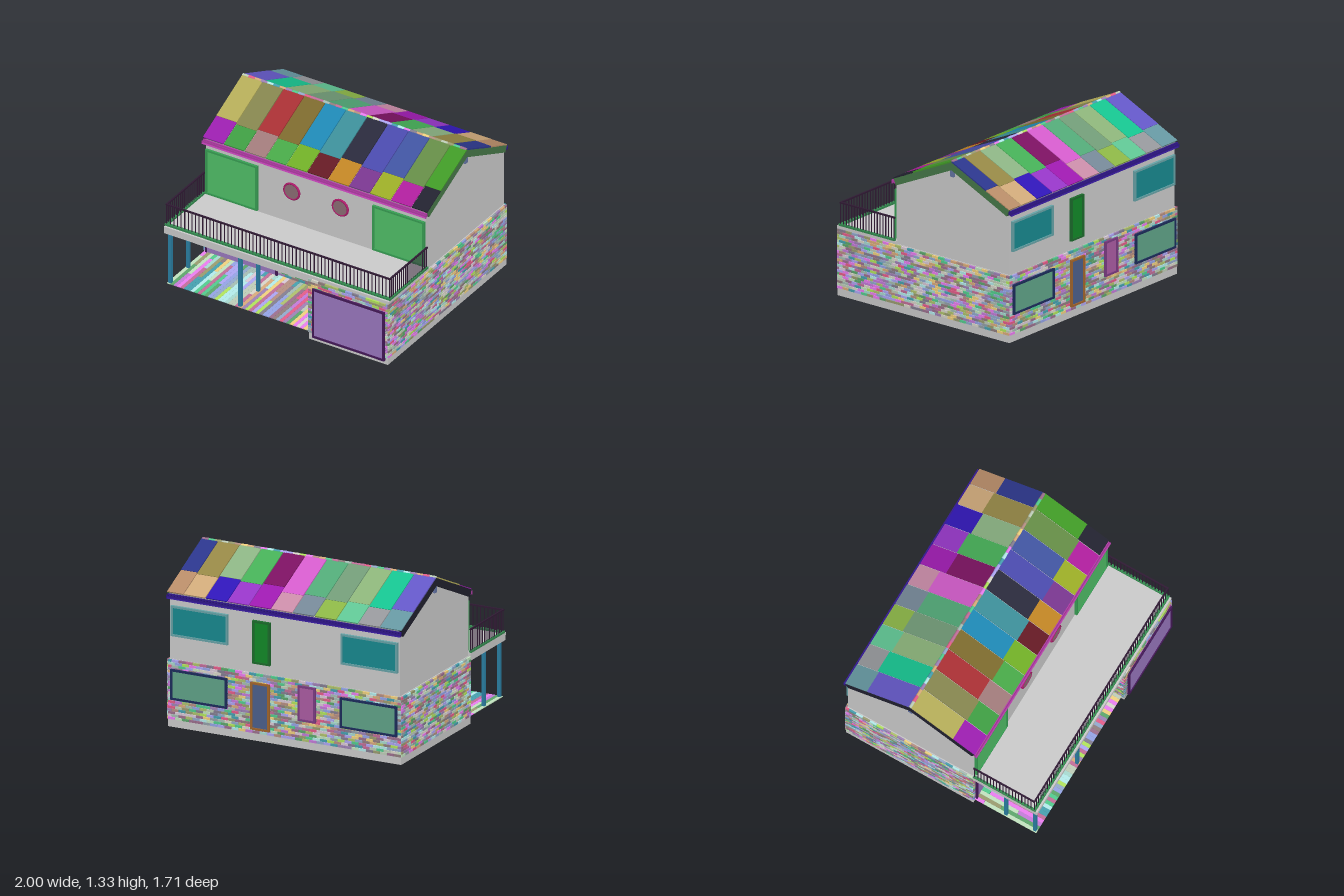
import * as THREE from 'three';
import { mergeGeometries } from 'three/addons/utils/BufferGeometryUtils.js';

const GREY = 0xcccccc;
const material = (color) => new THREE.MeshStandardMaterial({ color });

let seed = 7;
const rand = () => (seed = (seed * 16807) % 2147483647) / 2147483647;

function add(parent, name, geometry, color = GREY) {
  const mesh = new THREE.Mesh(geometry, material(color));
  mesh.name = name;
  parent.add(mesh);
  return mesh;
}

// Box given by its limits on each axis
function span(x0, x1, y0, y1, z0, z1) {
  return new THREE.BoxGeometry(x1 - x0, y1 - y0, z1 - z0)
    .translate((x0 + x1) / 2, (y0 + y1) / 2, (z0 + z1) / 2);
}

// Many small pieces in mixed colours, merged to one mesh per colour
const PALETTE = Array.from({ length: 28 }, (_, i) =>
  new THREE.Color().setHSL(i / 28, 0.15 + 0.2 * (i % 4), 0.25 + 0.1 * (i % 5)));

function addMixed(parent, name, pieces) {
  const group = new THREE.Group();
  group.name = name;
  const buckets = PALETTE.map(() => []);
  pieces.forEach((g) => buckets[Math.floor(rand() * PALETTE.length)].push(g));
  buckets.forEach((b, i) => b.length && add(group, name, mergeGeometries(b), PALETTE[i]));
  parent.add(group);
}

// L-shaped plan: back block plus the projecting wing on the left
function footprint(inset, y0, y1) {
  const a = 0.99 - inset, b = 0.29 + inset;
  const front = 0.84 - inset, mid = 0.28 - inset, back = -0.83 + inset;
  const points = [[-a, back], [-a, mid], [b, mid], [b, front], [a, front], [a, back]];
  const shape = new THREE.Shape(points.map(([x, z]) => new THREE.Vector2(x, -z)));
  return new THREE.ExtrudeGeometry(shape, { depth: y1 - y0, bevelEnabled: false })
    .rotateX(-Math.PI / 2).translate(0, y0, 0);
}

// Running-bond bricks on one wall, along x or along z at a fixed place
function brickWall(axis, from, to, at) {
  const rows = 22, rowHeight = 0.475 / rows, length = 0.06, gap = 0.003, depth = 0.02;
  const bricks = [];
  for (let r = 0; r < rows; r++) {
    const y = 0.06 + r * rowHeight;
    for (let s = from - (r % 2) * length / 2; s < to - 0.005; s += length) {
      const a = Math.max(s, from), b = Math.min(s + length, to) - gap;
      if (b - a < 0.005) continue;
      bricks.push(axis === 'x'
        ? span(a, b, y, y + rowHeight - gap, at - depth / 2, at + depth / 2)
        : span(at - depth / 2, at + depth / 2, y, y + rowHeight - gap, a, b));
    }
  }
  return bricks;
}

// Framed pane on a wall facing +z (dir 1) or -z (dir -1)
function framedPane(parent, name, [x0, x1, y0, y1], z, dir, frameColor, paneColor) {
  const group = new THREE.Group();
  group.name = name;
  const w = x1 - x0, h = y1 - y0, t = 0.016;
  const rect = (Type, i) => new Type([[-w / 2 + i, -h / 2 + i], [w / 2 - i, -h / 2 + i],
    [w / 2 - i, h / 2 - i], [-w / 2 + i, h / 2 - i]].map((p) => new THREE.Vector2(...p)));
  const ring = rect(THREE.Shape, 0);
  ring.holes.push(rect(THREE.Path, t));
  add(group, 'frame', new THREE.ExtrudeGeometry(ring, { depth: 0.022, bevelEnabled: false }), frameColor);
  add(group, 'pane', span(-w / 2 + t, w / 2 - t, -h / 2 + t, h / 2 - t, 0, 0.014), paneColor);
  group.position.set((x0 + x1) / 2, (y0 + y1) / 2, z);
  if (dir < 0) group.rotation.y = Math.PI;
  parent.add(group);
}

function roundWindow(parent, x, y, z, frameColor, paneColor) {
  const group = new THREE.Group();
  group.name = 'roundWindow';
  add(group, 'frame', new THREE.TorusGeometry(0.066, 0.009, 8, 40), frameColor);
  add(group, 'pane', new THREE.CylinderGeometry(0.066, 0.066, 0.012, 40).rotateX(Math.PI / 2), paneColor);
  group.position.set(x, y, z);
  parent.add(group);
}

const ROOF = {
  frontUpper: [0xb4ac58, 0x84844e, 0xa83034, 0x7c6a2e, 0x1e88b4, 0x3c8e98, 0x2a2a3c, 0x4a4aac, 0x4054a0, 0x648c46, 0x409a26],
  frontLower: [0x9a1eae, 0x3e9c42, 0xa07a7a, 0x48a848, 0x70ae26, 0x641a24, 0xc08424, 0x78368e, 0x9aac26, 0xae1e9c, 0x222230],
  backUpper: [0x6458c8, 0x16c490, 0x8cb47a, 0x729c78, 0x52aa78, 0xd45ccc, 0x7c1262, 0x46b058, 0x8cb484, 0x968846, 0x2c368c],
  backLower: [0x6698a2, 0x96989c, 0x60c694, 0x8cb646, 0x768898, 0xca8ca8, 0x9e1ab0, 0x9636c8, 0x3016b8, 0xd0aa7a, 0xb88c68],
};

// One roof slope: base slab, verge boards and two courses of coloured sheets
function roofSlope(roof, back) {
  const turn = new THREE.Group(), slope = new THREE.Group();
  turn.name = back ? 'backRoof' : 'frontRoof';
  const angle = Math.atan2(0.255, 0.56), length = 0.615;
  slope.rotation.x = angle;
  if (back) turn.rotation.y = Math.PI;
  add(slope, 'roofSlab', span(-0.975, 0.975, -0.055, 0, 0, length));
  for (const side of [-1, 1]) {
    const x = side * 0.985;
    const isLeft = (back ? -side : side) > 0;
    add(slope, 'vergeBoard', span(x - 0.01, x + 0.01, -0.055, 0.002, 0, length), isLeft ? 0x467848 : 0x20202e);
  }
  for (let i = 0; i < 11; i++) {
    let x0 = -0.995 + i * 0.185 + 0.003, x1 = Math.min(x0 + 0.179, 0.995);
    if (back) [x0, x1] = [-x1, -x0];
    const split = 0.41 + (i % 2 ? 0.012 : -0.004) + (back && i > 5 ? -0.04 : 0);
    add(slope, 'upperSheet', span(x0, x1, 0, 0.012, 0, split), (back ? ROOF.backUpper : ROOF.frontUpper)[i]);
    add(slope, 'lowerSheet', span(x0, x1, 0, 0.009, split, length), (back ? ROOF.backLower : ROOF.frontLower)[i]);
  }
  turn.add(slope);
  // Fascia and half-round gutter
  const color = back ? 0x30168c : 0xb43ca8;
  add(turn, 'fascia', span(-0.99, 0.99, 1.018 - 1.312, 1.05 - 1.312, 0.552, 0.568), color);
  const gutter = add(turn, 'gutter', new THREE.CylinderGeometry(0.015, 0.015, 1.985, 12, 1, false, 0, Math.PI)
    .rotateZ(Math.PI / 2).rotateX(Math.PI / 2), color);
  gutter.geometry.computeBoundingBox();
  const box = gutter.geometry.boundingBox;
  if (box.max.y > 0.01) gutter.geometry.rotateX(Math.PI);
  gutter.material.side = THREE.DoubleSide;
  gutter.position.set(0, 1.028 - 1.312, 0.58);
  roof.add(turn);
}

export function createModel() {
  const house = new THREE.Group();
  house.name = 'house';

  // Plinth, ground floor and brick cladding
  add(house, 'plinth', footprint(0, 0, 0.06));
  add(house, 'groundFloorWalls', footprint(0.008, 0.06, 0.536));
  addMixed(house, 'bricks', [
    ...brickWall('x', -0.99, 0.99, -0.826), ...brickWall('x', -0.99, 0.1, 0.276),
    ...brickWall('x', 0.285, 0.99, 0.836), ...brickWall('z', -0.83, 0.84, 0.986),
    ...brickWall('z', -0.83, 0.28, -0.986), ...brickWall('z', 0.28, 0.84, 0.294),
  ]);

  // Upper floor with gables
  const gable = new THREE.Shape([[-0.82, 0.53], [0.28, 0.53], [0.28, 1.01], [-0.27, 1.262], [-0.82, 1.01]]
    .map((p) => new THREE.Vector2(...p)));
  add(house, 'upperFloorWalls', new THREE.ExtrudeGeometry(gable, { depth: 1.95, bevelEnabled: false })
    .translate(0, 0, -0.975).rotateY(-Math.PI / 2));

  // Roof
  const roof = new THREE.Group();
  roof.name = 'roof';
  roof.position.set(0, 1.312, -0.27);
  roofSlope(roof, false);
  roofSlope(roof, true);
  add(roof, 'ridgeBeam', span(-0.99, 0.99, -0.115, -0.05, -0.018, 0.018), 0x6474a4);
  const caps = [];
  for (let i = 0; i < 36; i++) {
    caps.push(new THREE.CylinderGeometry(0.013 + (i % 2) * 0.002, 0.013, 0.054, 10)
      .rotateZ(Math.PI / 2).translate(-0.965 + i * 0.0551, 0.004, 0));
  }
  addMixed(roof, 'ridgeCaps', caps);
  house.add(roof);

  // Balcony deck over the porch and wing
  add(house, 'balconySlab', span(-0.995, 0.995, 0.536, 0.56, 0.27, 0.838));
  add(house, 'porchCeiling', span(-0.995, 0.29, 0.5, 0.536, 0.28, 0.835));
  add(house, 'frontEdging', span(-0.998, 0.998, 0.56, 0.576, 0.798, 0.822), 0x348c50);
  for (const s of [-1, 1]) {
    add(house, 'sideEdging', span(s * 0.988 - 0.01, s * 0.988 + 0.01, 0.56, 0.576, 0.28, 0.8), 0x348c50);
  }

  // Railing
  const rail = [span(-0.995, 0.995, 0.738, 0.75, 0.803, 0.815)];
  const baluster = (x, z) => rail.push(span(x - 0.003, x + 0.003, 0.575, 0.74, z - 0.003, z + 0.003));
  for (let i = 0; i <= 62; i++) baluster(-0.988 + i * 1.976 / 62, 0.809);
  for (const s of [-1, 1]) {
    rail.push(span(s * 0.988 - 0.006, s * 0.988 + 0.006, 0.738, 0.75, 0.28, 0.815));
    for (let i = 0; i < 19; i++) baluster(s * 0.988, 0.29 + i * 0.0273);
  }
  add(house, 'railing', mergeGeometries(rail), 0x301a34);

  // Porch floor boards and posts
  const boards = [];
  for (let i = 0; i < 42; i++) {
    const x = -0.98 + i * 0.0302, cut = 0.36 + 0.13 * (i % 3);
    boards.push(span(x, x + 0.029, 0.052, 0.058, 0.28, cut), span(x, x + 0.029, 0.052, 0.058, cut + 0.002, 0.82));
  }
  addMixed(house, 'porchBoards', boards);
  for (const x of [-0.96, -0.34]) {
    for (const z of [0.55, 0.8]) {
      add(house, 'porchPost', span(x - 0.0125, x + 0.0125, 0.055, z > 0.7 ? 0.52 : 0.5, z - 0.0125, z + 0.0125), 0x2a80a4);
    }
  }

  // Front openings
  framedPane(house, 'wingDoor', [0.33, 0.97, 0.035, 0.465], 0.84, 1, 0x441858, 0x9a78c0);
  framedPane(house, 'porchDoor', [-0.97, -0.33, 0.035, 0.465], 0.28, 1, 0x441858, 0x9a78c0);
  for (const s of [-1, 1]) {
    framedPane(house, 'balconyDoor', [s * 0.74 - 0.23, s * 0.74 + 0.23, 0.572, 0.965], 0.278, 1, 0x38a054, 0x50c068);
  }
  roundWindow(house, -0.21, 0.84, 0.285, 0xb01c6c, 0x8c6c74);
  roundWindow(house, 0.22, 0.84, 0.285, 0xb01c6c, 0x8c6c74);
  roundWindow(house, -0.19, 0.335, 0.29, 0x8c8c30, 0x8c7ca0);

  // Back openings
  for (const s of [-1, 1]) {
    const x0 = s * 0.72 - 0.24, x1 = s * 0.72 + 0.24;
    framedPane(house, 'upperBackWindow', [x0, x1, 0.72, 0.96], -0.82, -1, 0x68a4a8, 0x188a90);
    framedPane(house, 'lowerBackWindow', [x0, x1, 0.22, 0.46], -0.83, -1, 0x1c2c5c, 0x60a488);
  }
  framedPane(house, 'upperBackDoor', [0.12, 0.27, 0.61, 0.95], -0.82, -1, 0x1c6c2c, 0x128a28);
  framedPane(house, 'lowerBackDoor', [0.12, 0.28, 0.09, 0.465], -0.83, -1, 0xa4662c, 0x4c608c);
  framedPane(house, 'narrowBackWindow', [-0.27, -0.12, 0.22, 0.5], -0.83, -1, 0x7c3c84, 0xac5ca4);

  return house;
}
